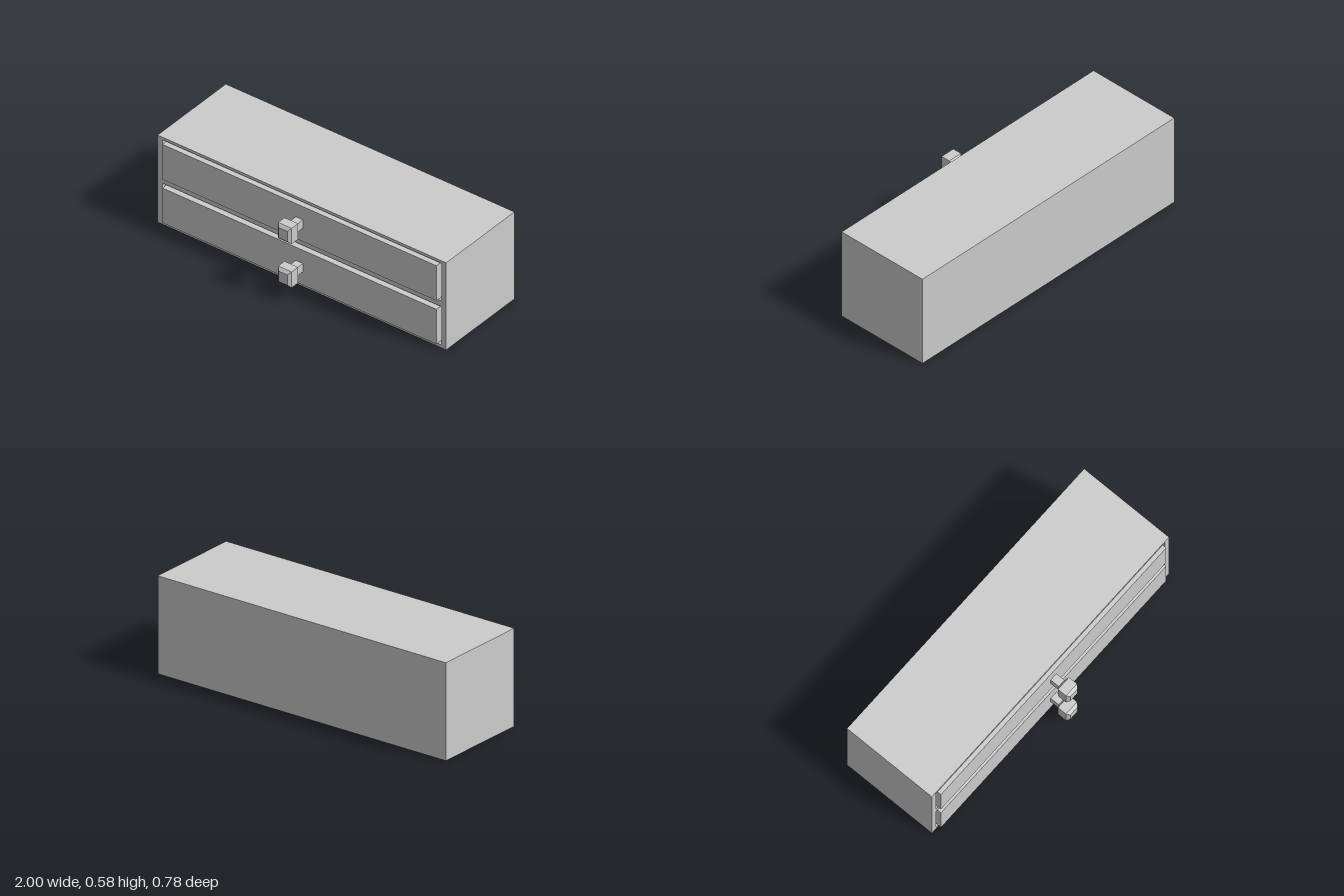
import * as THREE from 'three';

const grey = new THREE.MeshStandardMaterial({ color: 0xcccccc, flatShading: true });
const H = 0.585, BACK = -0.392, FRONT = 0.222, RECESS = 0.03;

function add(parent, name, geometry, x = 0, y = 0, z = 0) {
  const mesh = new THREE.Mesh(geometry, grey);
  mesh.name = name;
  mesh.position.set(x, y, z);
  parent.add(mesh);
  return mesh;
}

// Rectangle outline, used for the frame and its openings
function rect(Type, halfW, y0, y1) {
  return new Type([[-halfW, y0], [halfW, y0], [halfW, y1], [-halfW, y1]]
    .map(([x, y]) => new THREE.Vector2(x, y)));
}

// Square stem and chamfered head: [half height, z] along the axis
function knobGeometry() {
  const profile = [[0, 0.235], [0.028, 0.235], [0.028, 0.303], [0.053, 0.317],
    [0.053, 0.375], [0.035, 0.392], [0, 0.392]];
  const points = profile.map(([r, z]) => new THREE.Vector2(r * Math.SQRT2, z));
  return new THREE.LatheGeometry(points, 4, Math.PI / 4)
    .rotateX(Math.PI / 2).scale(0.88, 1, 1);
}

export function createModel() {
  const model = new THREE.Group();
  model.name = 'drawerUnit';

  const drawers = [
    { name: 'lowerDrawer', opening: [0.02, 0.276], panel: [0.03, 0.264], knob: 0.147 },
    { name: 'upperDrawer', opening: [0.315, 0.567], panel: [0.322, 0.557], knob: 0.44 },
  ];

  // Cabinet body and the front frame around the drawer recesses
  const depth = FRONT - RECESS - BACK;
  add(model, 'cabinetBody', new THREE.BoxGeometry(2, H, depth), 0, H / 2, BACK + depth / 2);
  const frame = rect(THREE.Shape, 1, 0, H);
  for (const d of drawers) frame.holes.push(rect(THREE.Path, 0.967, ...d.opening));
  add(model, 'frontFrame', new THREE.ExtrudeGeometry(frame, { depth: RECESS, bevelEnabled: false }),
    0, 0, FRONT - RECESS);

  // Drawer fronts with knobs
  for (const d of drawers) {
    const drawer = new THREE.Group();
    drawer.name = d.name;
    const [y0, y1] = d.panel, z0 = FRONT - RECESS, z1 = 0.245;
    add(drawer, 'drawerFront', new THREE.BoxGeometry(1.9, y1 - y0, z1 - z0),
      0, (y0 + y1) / 2, (z0 + z1) / 2);
    add(drawer, 'knob', knobGeometry(), 0, d.knob, 0);
    model.add(drawer);
  }
  return model;
}
